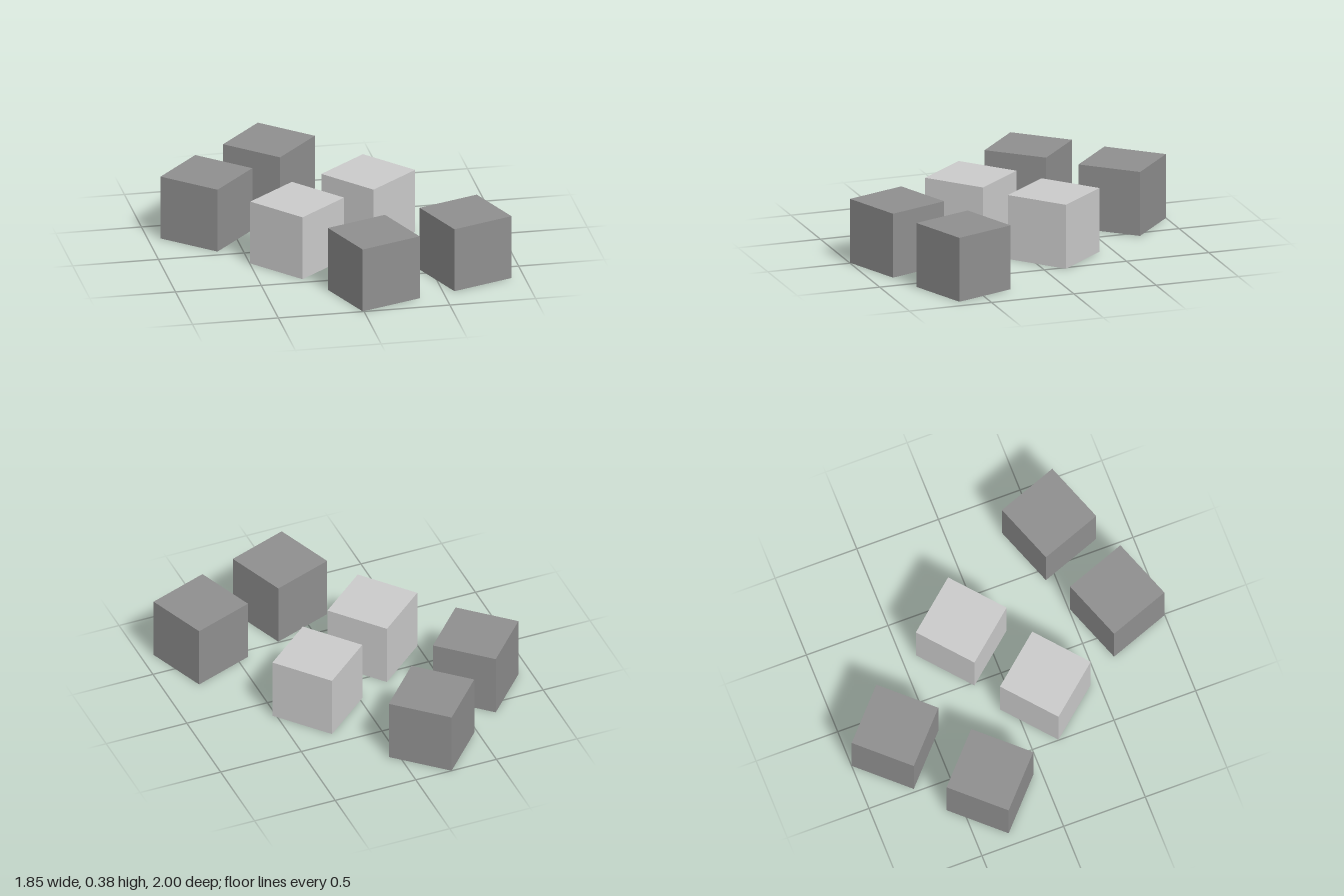
import * as THREE from 'three';

const SIZE = 0.382;

// Three pairs of cubes: centres [x, z] and a shared turn about y, in degrees
const PAIRS = [
  { name: 'back', color: 0x8f8f8f, turn: -42.6, centres: [[-0.211, -0.73], [-0.657, -0.32]] },
  { name: 'middle', color: 0xcccccc, turn: 40.2, centres: [[0.252, -0.147], [-0.228, 0.184]] },
  { name: 'front', color: 0x8f8f8f, turn: 20.2, centres: [[0.106, 0.752], [0.68, 0.555]] },
];

export function createModel() {
  const model = new THREE.Group();
  model.name = 'cubes';
  const cube = new THREE.BoxGeometry(SIZE, SIZE, SIZE);

  for (const { name, color, turn, centres } of PAIRS) {
    const pair = new THREE.Group();
    pair.name = `${name}Pair`;
    const material = new THREE.MeshStandardMaterial({ color });

    centres.forEach(([x, z], i) => {
      const mesh = new THREE.Mesh(cube, material);
      mesh.name = `${name}Cube${i + 1}`;
      mesh.position.set(x, SIZE / 2, z);
      mesh.rotation.y = THREE.MathUtils.degToRad(turn);
      pair.add(mesh);
    });
    model.add(pair);
  }
  return model;
}
